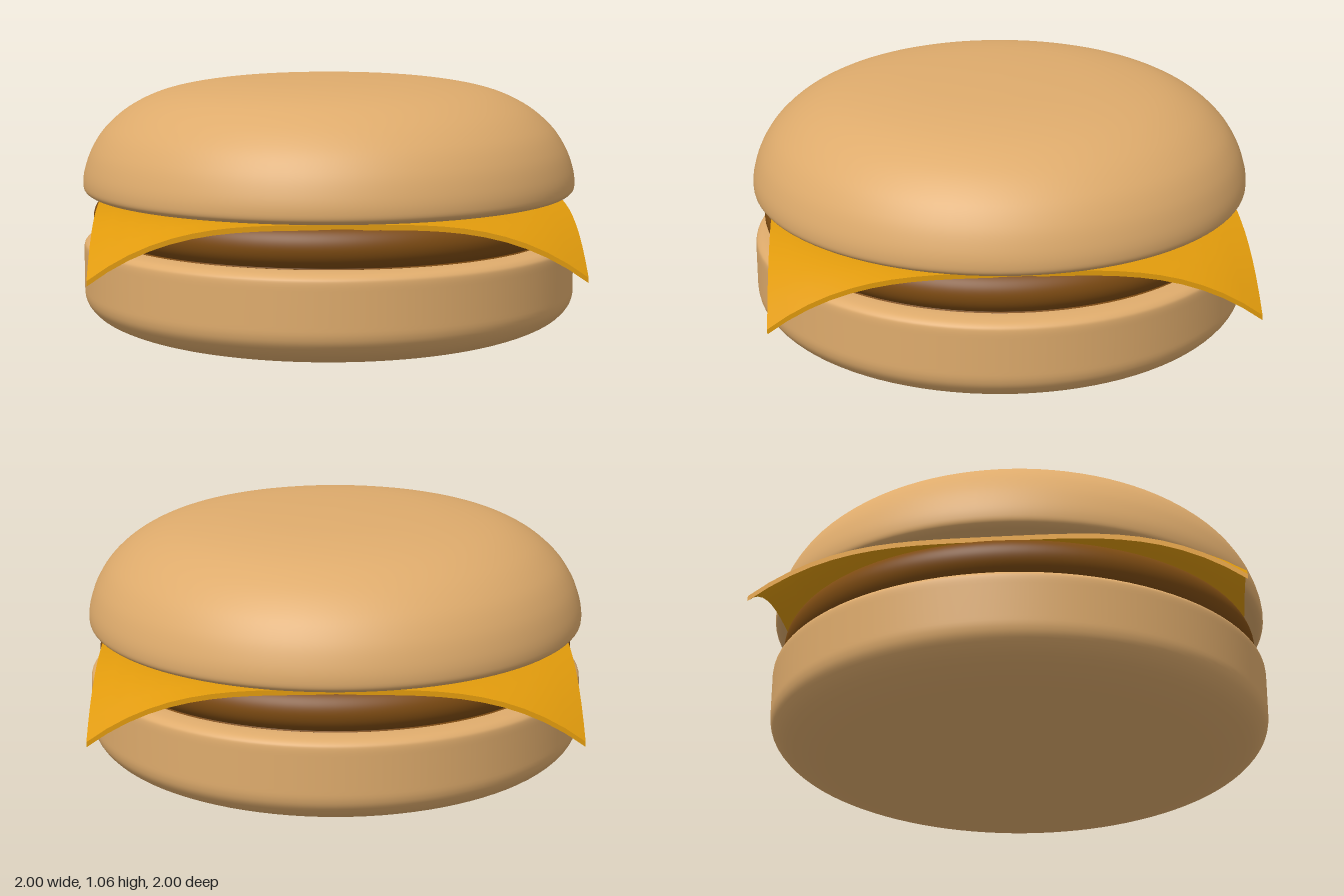
import * as THREE from 'three';

const material = (color) => new THREE.MeshStandardMaterial({ color });

// Smooth revolved body: spline through [radius, height] points, bottom to top
function turned(name, points, mat) {
  const curve = new THREE.SplineCurve(points.map(([r, y]) => new THREE.Vector2(r, y)));
  const profile = curve.getPoints(72);
  profile.forEach((p) => { p.x = Math.min(Math.max(p.x, 0), 1); });
  const mesh = new THREE.Mesh(new THREE.LatheGeometry(profile, 96), mat);
  mesh.name = name;
  return mesh;
}

export function createModel() {
  const group = new THREE.Group();
  group.name = 'cheeseburger';
  const bun = material(0xdeab6c);

  // Lower bun: softly curved underside, straight wall, small rounded rim
  group.add(turned('bottomBun', [
    [0, 0.003], [0.3, 0.007], [0.6, 0.024], [0.8, 0.053], [0.92, 0.095], [0.98, 0.145],
    [1, 0.2], [1, 0.29], [1, 0.375], [0.99, 0.405], [0.95, 0.42], [0.85, 0.423], [0.4, 0.423], [0, 0.423],
  ], bun));

  // Patty: flat disc with a half-round edge
  const patty = [[0, 0.42], [0.5, 0.42]];
  for (let i = 0; i <= 8; i++) {
    const a = -Math.PI / 2 + (Math.PI * i) / 8;
    patty.push([0.875 + 0.085 * Math.cos(a), 0.505 + 0.083 * Math.sin(a)]);
  }
  patty.push([0.5, 0.588], [0, 0.588]);
  group.add(turned('patty', patty, material(0x7d4b12)));

  // Cheese slice: thin square whose corners droop past the patty
  const slice = new THREE.BoxGeometry(1.84, 0.02, 1.84, 24, 1, 24);
  const pos = slice.attributes.position;
  for (let i = 0; i < pos.count; i++) {
    const over = Math.max(0, Math.hypot(pos.getX(i), pos.getZ(i)) - 0.92);
    pos.setY(i, pos.getY(i) + 0.582 - 1.39 * over * over);
  }
  slice.computeVertexNormals();
  const cheese = new THREE.Mesh(slice, material(0xe09a0c));
  cheese.name = 'cheeseSlice';
  group.add(cheese);

  // Upper bun: flat base, tight lower rim, broad dome
  group.add(turned('topBun', [
    [0, 0.594], [0.4, 0.594], [0.8, 0.594], [0.94, 0.596], [0.985, 0.606], [1, 0.635], [0.992, 0.7],
    [0.96, 0.785], [0.9, 0.87], [0.8, 0.95], [0.66, 1.01], [0.46, 1.046], [0.22, 1.061], [0, 1.065],
  ], bun));

  return group;
}
